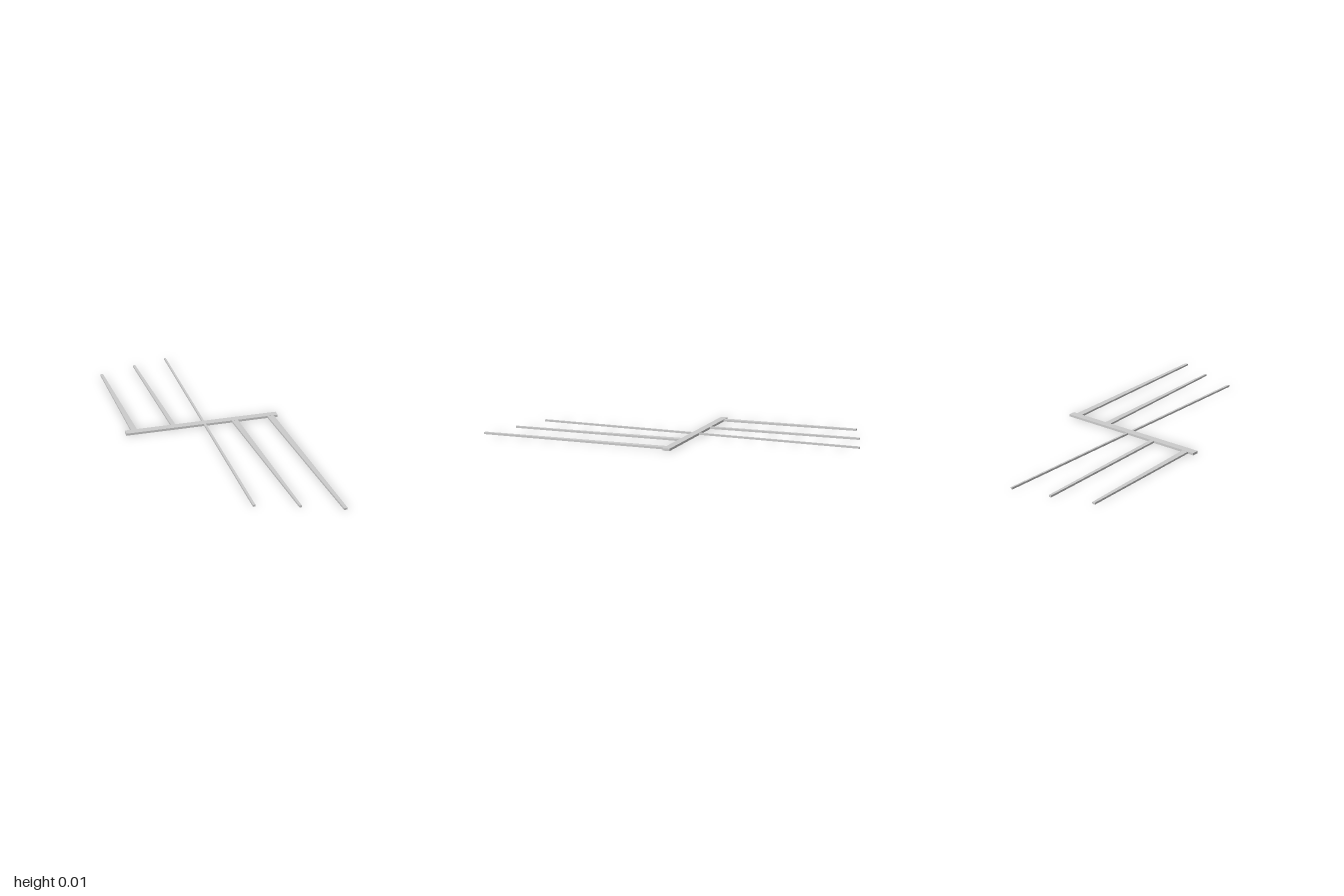
import * as THREE from 'three';

const material = new THREE.MeshStandardMaterial({ color: 0xcccccc, flatShading: true });

// Flat slab whose plan outline is given as [x, z] corners
function slab(name, corners, bottom, top) {
  const shape = new THREE.Shape(corners.map(([x, z]) => new THREE.Vector2(x, z)));
  const geometry = new THREE.ExtrudeGeometry(shape, { depth: top - bottom, bevelEnabled: false });
  geometry.rotateX(Math.PI / 2).translate(0, top, 0);
  const mesh = new THREE.Mesh(geometry, material);
  mesh.name = name;
  return mesh;
}

// Tapered strip running along z, with its left and right edge at each end
function strip(name, [a0, a1, za], [b0, b1, zb]) {
  return slab(name, [[a0, za], [a1, za], [b1, zb], [b0, zb]], 0.001, 0.0115);
}

export function createModel() {
  const group = new THREE.Group();
  group.name = 'crossedBars';

  // Slanted crossbar
  group.add(slab('crossbar', [[-0.434, -0.127], [0.432, -0.093], [0.43, -0.053], [-0.436, -0.087]], 0, 0.0125));

  // Long thin rod through the middle
  group.add(strip('centreRod', [0.04, 0.05, -1], [-0.034, -0.021, 0.836]));

  // Two tapering prongs to the back
  group.add(strip('backOuterProng', [-0.39, -0.374, -0.89], [-0.4, -0.366, -0.106]));
  group.add(strip('backInnerProng', [-0.171, -0.157, -0.955], [-0.174, -0.149, -0.097]));

  // Two tapering prongs to the front
  group.add(strip('frontInnerProng', [0.163, 0.198, -0.082], [0.181, 0.193, 0.912]));
  group.add(strip('frontOuterProng', [0.37, 0.408, -0.074], [0.38, 0.398, 1]));

  return group;
}
